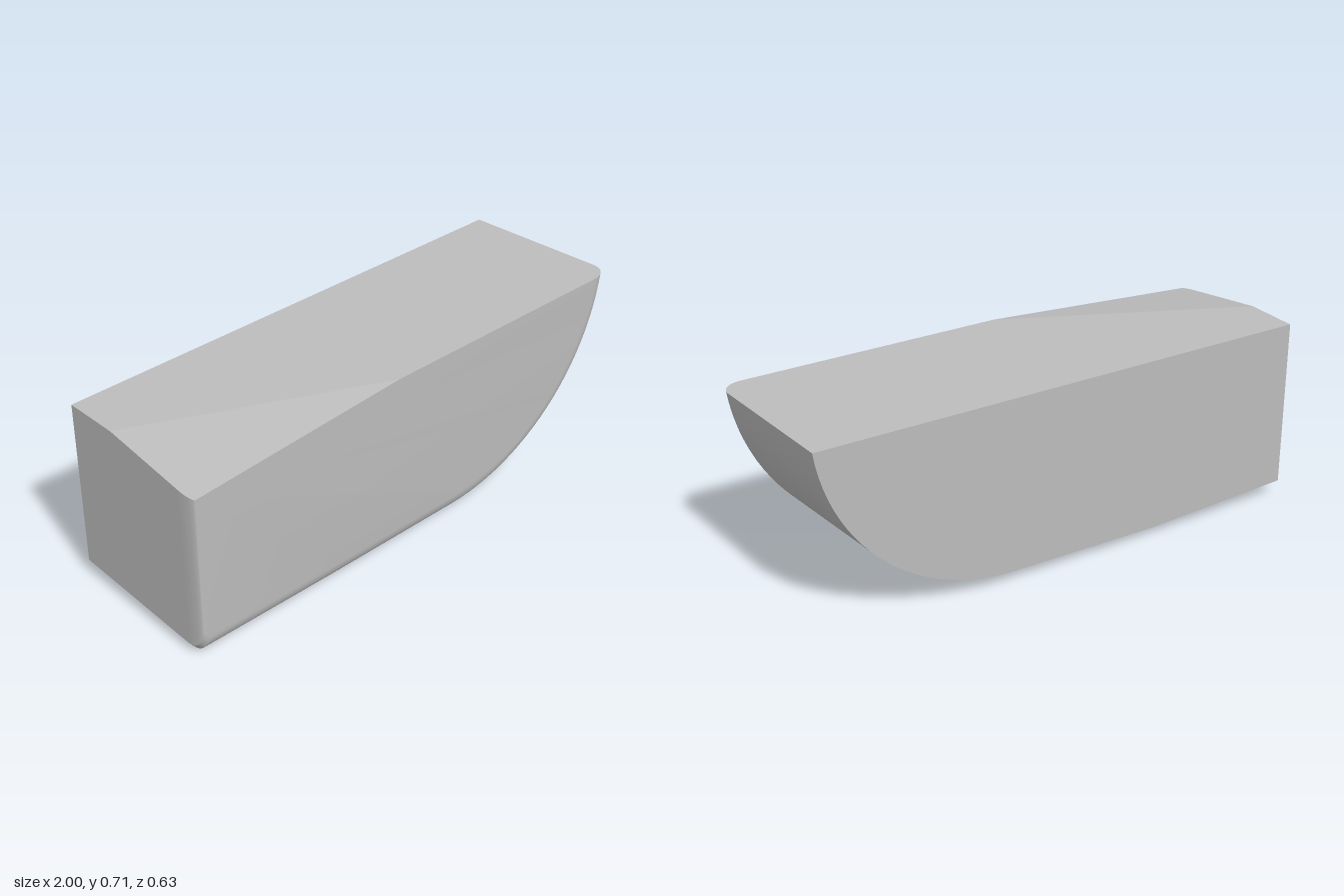
import * as THREE from 'three';
import { toCreasedNormals } from 'three/addons/utils/BufferGeometryUtils.js';

const TOP = 0.71, BACK = -0.315, FILLET_Z = 0.245, DEPTH = 0.07, INSET = 0.08;
const CENTRE_X = 0.2, CENTRE_Y = 0.806, ARC_STEPS = 24, FILLET_STEPS = 18;

// Outline at depth z, counter-clockwise from the top left; f is the rounding inset (0..1)
function section(z, f) {
  const draft = THREE.MathUtils.clamp((FILLET_Z - z) / 0.56, 0, 1);
  const r = CENTRE_Y - 0.04 * draft - INSET * f;
  const bottom = CENTRE_Y - r;
  const left = -1 + 0.015 * f;
  const slant = Math.max(0.002, (z + 0.1) / 0.415); // progress of the sloped top corner
  const bevel = 0.025 * (1 - draft) + 0.001;
  const leftBottom = bottom + 0.006 + 0.012 * draft;
  const pts = [
    [left, TOP - 0.06 * (slant - (left + 1) / 0.9)],
    [left, leftBottom + bevel],
    [left + bevel * 0.8, leftBottom],
    [-0.4, bottom - 0.008 * draft],
  ];
  const end = Math.acos((CENTRE_Y - TOP) / r);
  for (let i = 0; i <= ARC_STEPS; i++) {
    const a = (end * i) / ARC_STEPS;
    pts.push([CENTRE_X + r * Math.sin(a), CENTRE_Y - r * Math.cos(a)]);
  }
  pts.push([-1 + 0.9 * slant, TOP]);
  return pts.map(([x, y]) => [x, y, z]);
}

// Loft the outlines from back to front and close both ends
function hullGeometry() {
  const rings = [BACK, -0.1].map((z) => section(z, 0));
  for (let i = 0; i <= FILLET_STEPS; i++) {
    const a = (Math.PI / 2) * (i / FILLET_STEPS);
    rings.push(section(FILLET_Z + DEPTH * Math.sin(a), 1 - Math.cos(a)));
  }
  const n = rings[0].length, positions = [], index = [];
  rings.forEach((ring) => ring.forEach((p) => positions.push(...p)));
  for (let i = 0; i < rings.length - 1; i++) {
    for (let j = 0; j < n; j++) {
      const k = (j + 1) % n, a = i * n + j, b = i * n + k;
      index.push(a, b, b + n, a, b + n, a + n);
    }
  }
  const front = (rings.length - 1) * n;
  for (let j = 1; j < n - 1; j++) {
    index.push(0, j + 1, j);
    index.push(front, front + j, front + j + 1);
  }
  const geometry = new THREE.BufferGeometry();
  geometry.setAttribute('position', new THREE.Float32BufferAttribute(positions, 3));
  geometry.setIndex(index);
  return toCreasedNormals(geometry, 0.13);
}

export function createModel() {
  const group = new THREE.Group();
  group.name = 'roundedBlock';
  const grey = new THREE.MeshStandardMaterial({ color: 0xbcbcbc });
  grey.name = 'lightGrey';
  const body = new THREE.Mesh(hullGeometry(), grey);
  body.name = 'body';
  group.add(body);
  return group;
}
